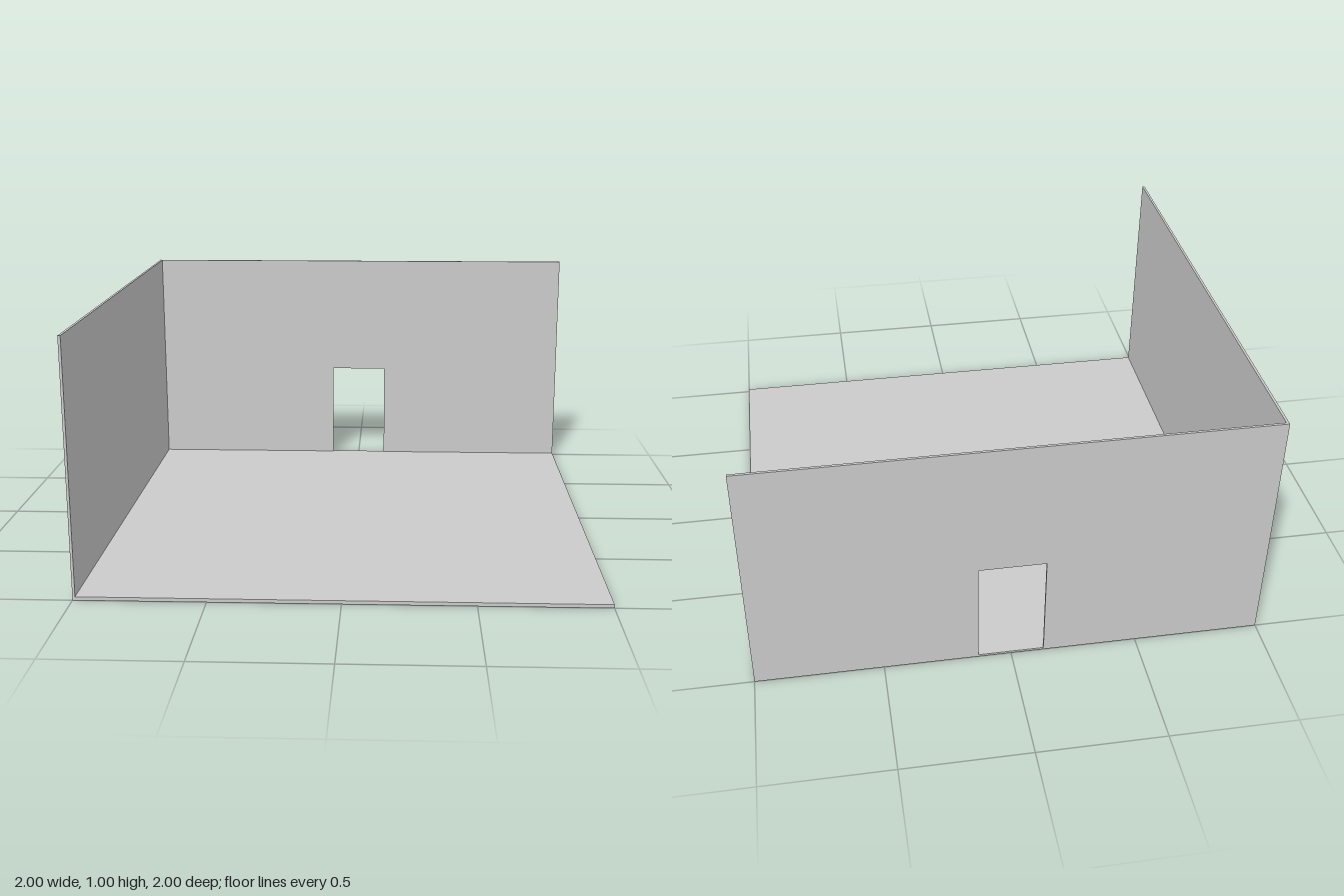
import * as THREE from 'three';

const WALL = 0.01; // wall thickness
const material = new THREE.MeshStandardMaterial({ color: 0xcccccc });

// Extrudes a closed outline by depth along its local z
function slab(name, points, depth) {
  const shape = new THREE.Shape(points.map(([x, y]) => new THREE.Vector2(x, y)));
  const geometry = new THREE.ExtrudeGeometry(shape, { depth, bevelEnabled: false });
  const mesh = new THREE.Mesh(geometry, material);
  mesh.name = name;
  return mesh;
}

export function createModel() {
  const room = new THREE.Group();
  room.name = 'room';

  // Floor: side profile, slightly thicker at the front, extruded across x
  const floor = slab('floor', [[-1, 0], [1, 0], [1, 0.009], [-1, 0.014]], 2);
  floor.rotation.y = Math.PI / 2;
  floor.position.x = -1;

  // Back wall with a doorway that opens down to the floor
  const door = { left: -0.13, right: 0.13, top: 0.45, sill: 0.009 };
  const backWall = slab('backWall', [
    [-1, 0], [-1, 1], [1, 1], [1, 0],
    [1, door.sill], [door.right, door.sill], [door.right, door.top],
    [door.left, door.top], [door.left, door.sill], [-1, door.sill],
  ].filter(([x, y]) => !(Math.abs(x) === 1 && y === 0)), WALL);
  backWall.position.z = -1;

  // Solid side wall
  const sideWall = new THREE.Mesh(new THREE.BoxGeometry(WALL, 1, 2), material);
  sideWall.name = 'sideWall';
  sideWall.position.set(-1 + WALL / 2, 0.5, 0);

  room.add(floor, backWall, sideWall);
  return room;
}
